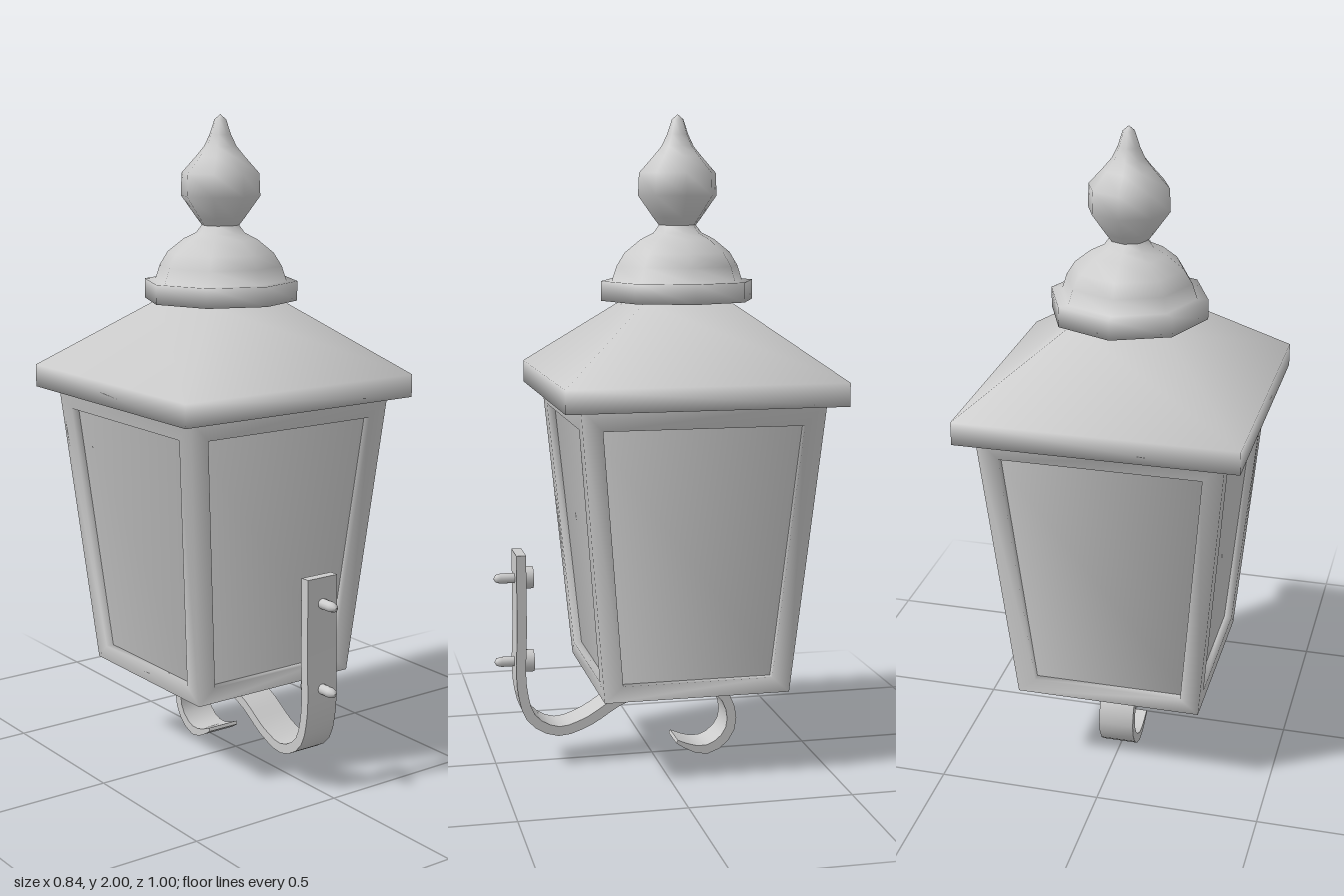
import * as THREE from 'three';
import { mergeVertices, mergeGeometries, toCreasedNormals } from 'three/addons/utils/BufferGeometryUtils.js';

const AXIS_Z = -0.08; // the lamp's vertical axis
const BODY_BOTTOM = 0.26, BODY_TOP = 1.15, RECESS = 0.025;
const grey = new THREE.MeshStandardMaterial({ color: 0xcccccc });

function add(parent, name, geometry) {
  const mesh = new THREE.Mesh(geometry, grey);
  mesh.name = name;
  parent.add(mesh);
  return mesh;
}

// Turned profile of [radius, height] points
function turned(points, sides) {
  return new THREE.LatheGeometry(points.map(([r, y]) => new THREE.Vector2(r, y)), sides);
}

// Square profile of [half width, height] points, aligned to x and z
function square(points) {
  return turned(points.map(([h, y]) => [h * Math.SQRT2, y]), 4).rotateY(Math.PI / 4);
}

// Half width of the tapering body at a given height
const half = (y) => THREE.MathUtils.mapLinear(y, BODY_BOTTOM, BODY_TOP, 0.286, 0.367);

// One side of the body: border around a window opening, then its recessed jambs
function framePanel() {
  const ring = (y0, y1, border, depth) => [[-1, y0], [1, y0], [1, y1], [-1, y1]]
    .map(([s, y]) => [s * (half(y) - border), y, half(y) - depth]);
  const rings = [
    ring(BODY_BOTTOM, BODY_TOP + 0.01, 0, 0),
    ring(0.31, 1.09, 0.06, 0),
    ring(0.31, 1.09, 0.06, RECESS + 0.005),
  ];
  const index = [];
  for (let r = 0; r < 2; r++) {
    for (let i = 0; i < 4; i++) {
      const j = (i + 1) % 4, a = r * 4, b = a + 4;
      index.push(a + i, a + j, b + j, a + i, b + j, b + i);
    }
  }
  const g = new THREE.BufferGeometry();
  g.setAttribute('position', new THREE.Float32BufferAttribute(rings.flat(2), 3));
  g.setIndex(index);
  return g;
}

// Flat iron strip following a scrolled path of [z, y] points
function scrollStrip(path, width, thickness) {
  const curve = new THREE.CatmullRomCurve3(path.map(([z, y]) => new THREE.Vector3(z, y, 0)), false, 'centripetal');
  const n = 44, sideA = [], sideB = [];
  for (let i = 0; i <= n; i++) {
    const t = i / n, p = curve.getPointAt(t), d = curve.getTangentAt(t);
    const w = thickness / 2 * (t > 0.93 ? 1 - (t - 0.93) * 9 : 1); // thins at the tip
    sideA.push(new THREE.Vector2(p.x - d.y * w, p.y + d.x * w));
    sideB.unshift(new THREE.Vector2(p.x + d.y * w, p.y - d.x * w));
  }
  const g = new THREE.ExtrudeGeometry(new THREE.Shape([...sideA, ...sideB]), { depth: width, bevelEnabled: false });
  g.rotateY(-Math.PI / 2).translate(width / 2, 0, 0);
  return toCreasedNormals(g, 0.7);
}

export function createModel() {
  const model = new THREE.Group();
  model.name = 'wallLantern';
  const lamp = new THREE.Group();
  lamp.name = 'lamp';
  lamp.position.z = AXIS_Z;
  model.add(lamp);

  // Tapered frame with four windows
  const panels = [0, 1, 2, 3].map((k) => framePanel().rotateY(k * Math.PI / 2));
  const frame = mergeVertices(mergeGeometries(panels), 1e-4);
  frame.computeVertexNormals();
  add(lamp, 'bodyFrame', frame);
  const b = half(BODY_BOTTOM);
  add(lamp, 'bodyBase', new THREE.PlaneGeometry(2 * b, 2 * b).rotateX(Math.PI / 2).translate(0, BODY_BOTTOM, 0));

  // Window panes, set back from the frame
  add(lamp, 'windowPanes', square([[half(0.29) - RECESS, 0.29], [half(1.11) - RECESS, 1.11]]));

  // Hipped roof with a square fascia
  add(lamp, 'roof', square([[0, 1.15], [0.42, 1.15], [0.42, 1.22], [0.135, 1.44], [0, 1.45]]));

  // Eight-sided vent cap and finial
  add(lamp, 'ventCap', turned([
    [0, 1.44], [0.238, 1.44], [0.238, 1.5], [0.205, 1.5], [0.19, 1.545],
    [0.165, 1.585], [0.115, 1.625], [0.075, 1.645], [0.058, 1.668],
  ], 8));
  add(lamp, 'finial', turned([
    [0.058, 1.668], [0.075, 1.69], [0.123, 1.757], [0.12, 1.825], [0.075, 1.875],
    [0.05, 1.905], [0.033, 1.94], [0.018, 1.985], [0, 2],
  ], 8));

  // Scrolled support bracket
  add(model, 'bracket', scrollStrip([
    [0.42, 0.67], [0.42, 0.45], [0.42, 0.24], [0.39, 0.15], [0.31, 0.107], [0.22, 0.13],
    [0.11, 0.195], [-0.02, 0.235], [-0.14, 0.235], [-0.22, 0.19], [-0.248, 0.12],
    [-0.235, 0.06], [-0.18, 0.016], [-0.13, 0.017], [-0.07, 0.045],
  ], 0.11, 0.03));

  // Wall bolts: round head behind the strip, shank with a rounded tip in front
  for (const y of [0.59, 0.325]) {
    const bolt = new THREE.Group();
    bolt.name = 'wallBolt';
    bolt.position.set(0, y, 0.378);
    bolt.rotation.x = Math.PI / 2;
    add(bolt, 'boltHead', new THREE.CylinderGeometry(0.035, 0.035, 0.03, 16).translate(0, 0.015, 0));
    add(bolt, 'boltShank', turned([[0.016, 0.01], [0.016, 0.1], [0.012, 0.115], [0, 0.122]], 12));
    model.add(bolt);
  }

  // Bolt fixing the lamp to the bracket
  add(lamp, 'lampBoltHead', new THREE.CylinderGeometry(0.035, 0.035, 0.03, 16).translate(0, 0.215, 0));
  add(lamp, 'lampBoltShank', new THREE.CylinderGeometry(0.016, 0.016, 0.05, 12).translate(0, 0.24, 0));

  return model;
}
